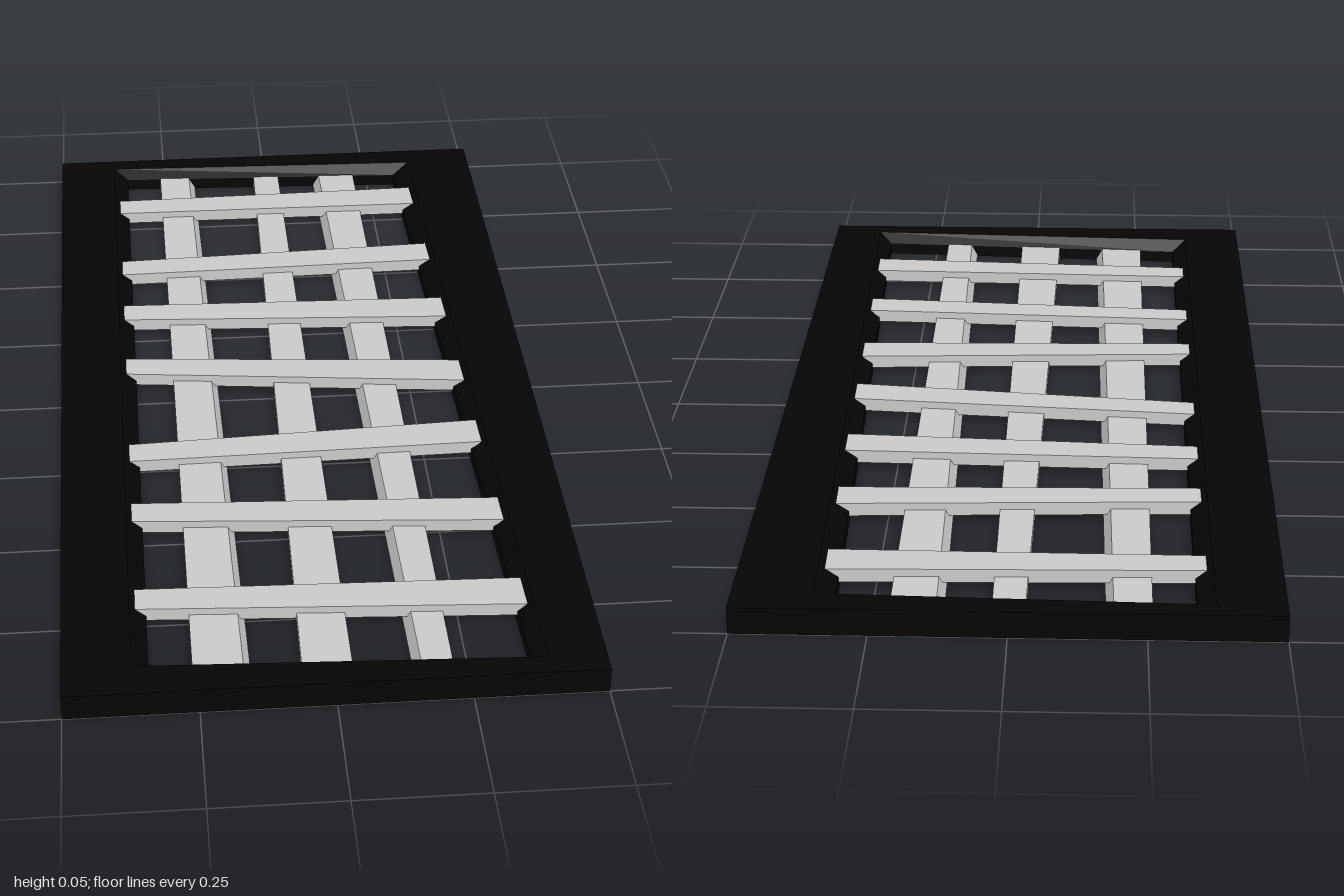
import * as THREE from 'three';

const grey = new THREE.MeshStandardMaterial({ color: 0xcccccc });
const black = new THREE.MeshStandardMaterial({ color: 0x050505, side: THREE.DoubleSide });

// Skin a stack of four-cornered rings with flat faces; optionally cap both ends.
function loft(rings, capped) {
  const pos = [];
  const quad = (a, b, c, d) => pos.push(...a, ...b, ...c, ...a, ...c, ...d);
  for (let r = 0; r < rings.length - 1; r++) {
    const lo = rings[r], hi = rings[r + 1];
    for (let i = 0; i < 4; i++) {
      const j = (i + 1) % 4;
      quad(lo[i], hi[i], hi[j], lo[j]);
    }
  }
  if (capped) {
    const top = rings[rings.length - 1];
    quad(...rings[0]);
    quad(top[0], top[3], top[2], top[1]);
  }
  const g = new THREE.BufferGeometry();
  g.setAttribute('position', new THREE.Float32BufferAttribute(pos, 3));
  g.computeVertexNormals();
  return g;
}

// Place four [x, z] corners at a height.
const at = (corners, y) => corners.map(([x, z]) => [x, y, z]);

export function createModel() {
  const model = new THREE.Group();
  const add = (name, geometry, material) => {
    const mesh = new THREE.Mesh(geometry, material);
    mesh.name = name;
    model.add(mesh);
  };

  // Frame: crooked opening, sloping inner edge and a groove underneath
  const opening = [[-0.34, -0.95], [0.315, -0.925], [0.365, 0.945], [-0.34, 0.905]];
  const outer = [[-0.5, -1], [0.5, -1], [0.5, 1], [-0.5, 1]];
  const profile = [ // [share of the way from opening to outer edge, height]
    [1, 0], [1, 0.052], [0.2, 0.052], [0, 0.026], [0, 0],
    [0.25, 0], [0.25, 0.036], [0.75, 0.036], [0.75, 0], [1, 0],
  ];
  const frameRings = profile.map(([u, y]) => at(opening.map(([x, z], i) => [
    THREE.MathUtils.lerp(x, outer[i][0], u),
    THREE.MathUtils.lerp(z, outer[i][1], u),
  ]), y));
  add('frame', loft(frameRings, false), black);

  // Cross slats: [left back, left front, right back, right front] z values
  const slats = [
    [-0.815, -0.755, -0.83, -0.75],
    [-0.53, -0.47, -0.56, -0.485],
    [-0.335, -0.275, -0.315, -0.235],
    [-0.115, -0.055, -0.055, 0.025],
    [0.21, 0.27, 0.175, 0.255],
    [0.415, 0.475, 0.45, 0.525],
    [0.69, 0.75, 0.71, 0.79],
  ];
  slats.forEach(([lb, lf, rb, rf], i) => {
    const end = 0.44;
    const z = (a, b, x) => a + (b - a) * (x + 0.36) / 0.73;
    const corners = [
      [-end, z(lb, rb, -end)], [end, z(lb, rb, end)],
      [end, z(lf, rf, end)], [-end, z(lf, rf, -end)],
    ];
    add(`crossSlat${i + 1}`, loft([at(corners, 0.016), at(corners, 0.043)], true), grey);
  });

  // Long bars: x of both sides at the back, then at the front, and side flare
  const bars = [
    [-0.26, -0.19, -0.26, -0.165, 0, 0.014],
    [-0.03, 0.03, -0.06, 0.035, 0, 0],
    [0.13, 0.215, 0.162, 0.22, -0.014, 0],
  ];
  bars.forEach(([bl, br, fl, fr, flareL, flareR], i) => {
    const ring = (l, r) => [[bl + l, -0.97], [br + r, -0.97], [fr + r, 0.97], [fl + l, 0.97]];
    add(`longBar${i + 1}`, loft([at(ring(flareL, flareR), 0.003), at(ring(0, 0), 0.028)], true), grey);
  });

  return model;
}
